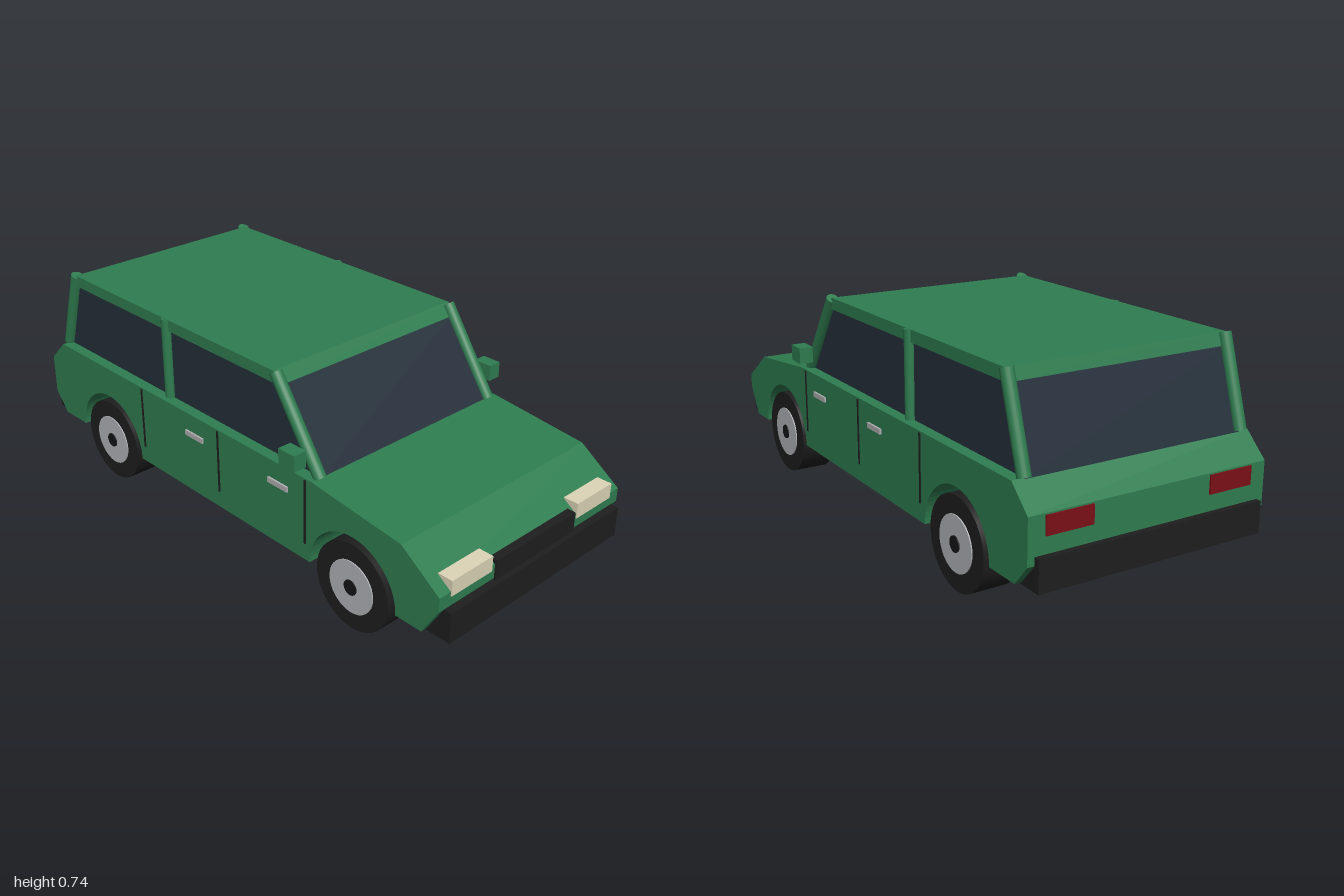
import * as THREE from 'three';

const mat = (color) => new THREE.MeshStandardMaterial({ color, flatShading: false });
const GREEN = mat(0x2f7d50), GLASS = mat(0x25303b), BLACK = mat(0x1e1e1e), HUB = mat(0x151517),
  RIM = mat(0xb4b5ba), CREAM = mat(0xded6b8), RED = mat(0x7a1016), CHROME = mat(0xb0b0b0);

export function createModel() {
  const car = new THREE.Group();
  car.name = 'car';

  const add = (name, geometry, material, parent = car) => {
    const mesh = new THREE.Mesh(geometry, material);
    mesh.name = name;
    parent.add(mesh);
    return mesh;
  };
  // Box given by its minimum and maximum on each axis
  const box = (name, material, x0, x1, y0, y1, z0, z1) =>
    add(name, new THREE.BoxGeometry(x1 - x0, y1 - y0, z1 - z0), material)
      .position.set((x0 + x1) / 2, (y0 + y1) / 2, (z0 + z1) / 2);
  // Side profile extruded across the car, centred on z = 0
  const slab = (name, material, shape, halfWidth) => {
    const g = new THREE.ExtrudeGeometry(shape, { depth: halfWidth * 2, bevelEnabled: false, curveSegments: 14 });
    g.translate(0, 0, -halfWidth);
    return add(name, g, material);
  };
  const polygon = (pts) => new THREE.Shape(pts.map(([x, y]) => new THREE.Vector2(x, y)));
  // Round rod between two points
  const rod = (name, a, b, radius) => {
    const from = new THREE.Vector3(...a), to = new THREE.Vector3(...b);
    const dir = to.clone().sub(from);
    const mesh = add(name, new THREE.CylinderGeometry(radius, radius, dir.length(), 20), GREEN);
    mesh.position.copy(from).add(to).multiplyScalar(0.5);
    mesh.quaternion.setFromUnitVectors(new THREE.Vector3(0, 1, 0), dir.normalize());
  };

  // Lower body with wheel arches cut right through
  const rearAxle = -0.611, frontAxle = 0.632, sill = 0.15, arch = 0.182;
  const body = new THREE.Shape();
  body.moveTo(-0.92, sill);
  for (const x of [rearAxle, frontAxle]) {
    body.lineTo(x - arch, sill);
    body.absarc(x, sill, arch, Math.PI, 0, true);
  }
  for (const [x, y] of [[0.915, sill], [0.975, 0.25], [0.975, 0.297], [0.825, 0.402], [0.46, 0.442],
    [-0.9, 0.442], [-0.98, 0.365], [-0.98, 0.22]]) body.lineTo(x, y);
  slab('body', GREEN, body, 0.427);

  // Glasshouse and roof
  slab('windows', GLASS, polygon([[-0.905, 0.44], [0.46, 0.44], [0.283, 0.692], [-0.826, 0.692]]), 0.387);
  slab('roof', GREEN, polygon([[-0.828, 0.69], [0.287, 0.69], [0.257, 0.73], [-0.815, 0.73]]), 0.397);

  // Bumpers and grille
  box('frontBumper', BLACK, 0.9, 1, 0.143, 0.246, -0.403, 0.403);
  box('rearBumper', BLACK, -1, -0.9, 0.143, 0.246, -0.403, 0.403);
  box('grille', BLACK, 0.92, 0.982, 0.24, 0.313, -0.188, 0.188);

  for (const s of [1, -1]) {
    const side = s > 0 ? 'Right' : 'Left';
    const across = (name, material, x0, x1, y0, y1, z0, z1) =>
      box(name + side, material, x0, x1, y0, y1, Math.min(s * z0, s * z1), Math.max(s * z0, s * z1));

    // Roof pillars
    const z = s * 0.39;
    rod('frontPillar' + side, [0.458, 0.44, z], [0.262, 0.726, z], 0.021);
    rod('middlePillar' + side, [-0.283, 0.44, z], [-0.283, 0.729, z], 0.019);
    rod('rearPillar' + side, [-0.906, 0.445, z], [-0.816, 0.73, z], 0.021);

    // Lamps, mirror, door seams and handles
    across('headlight', CREAM, 0.925, 0.978, 0.282, 0.335, 0.203, 0.38);
    across('tailLight', RED, -0.985, -0.95, 0.3, 0.36, 0.21, 0.37);
    across('mirror', GREEN, 0.365, 0.434, 0.483, 0.539, 0.426, 0.475);
    for (const x of [-0.403, 0.013, 0.43]) across('doorSeam', BLACK, x - 0.004, x + 0.004, 0.21, 0.437, 0.42, 0.4295);
    for (const x of [-0.108, 0.309]) across('doorHandle', CHROME, x - 0.045, x + 0.045, 0.361, 0.379, 0.42, 0.434);

    // Wheels
    for (const [x, end] of [[frontAxle, 'front'], [rearAxle, 'rear']]) {
      const wheel = new THREE.Group();
      wheel.name = end + 'Wheel' + side;
      wheel.position.set(x, 0.153, s * 0.364);
      wheel.rotation.x = Math.PI / 2;
      car.add(wheel);
      add('tyre', new THREE.CylinderGeometry(0.151, 0.151, 0.122, 40), BLACK, wheel);
      add('rim', new THREE.CylinderGeometry(0.091, 0.091, 0.13, 32), RIM, wheel);
      add('hub', new THREE.CylinderGeometry(0.026, 0.026, 0.138, 16), HUB, wheel);
    }
  }
  return car;
}
